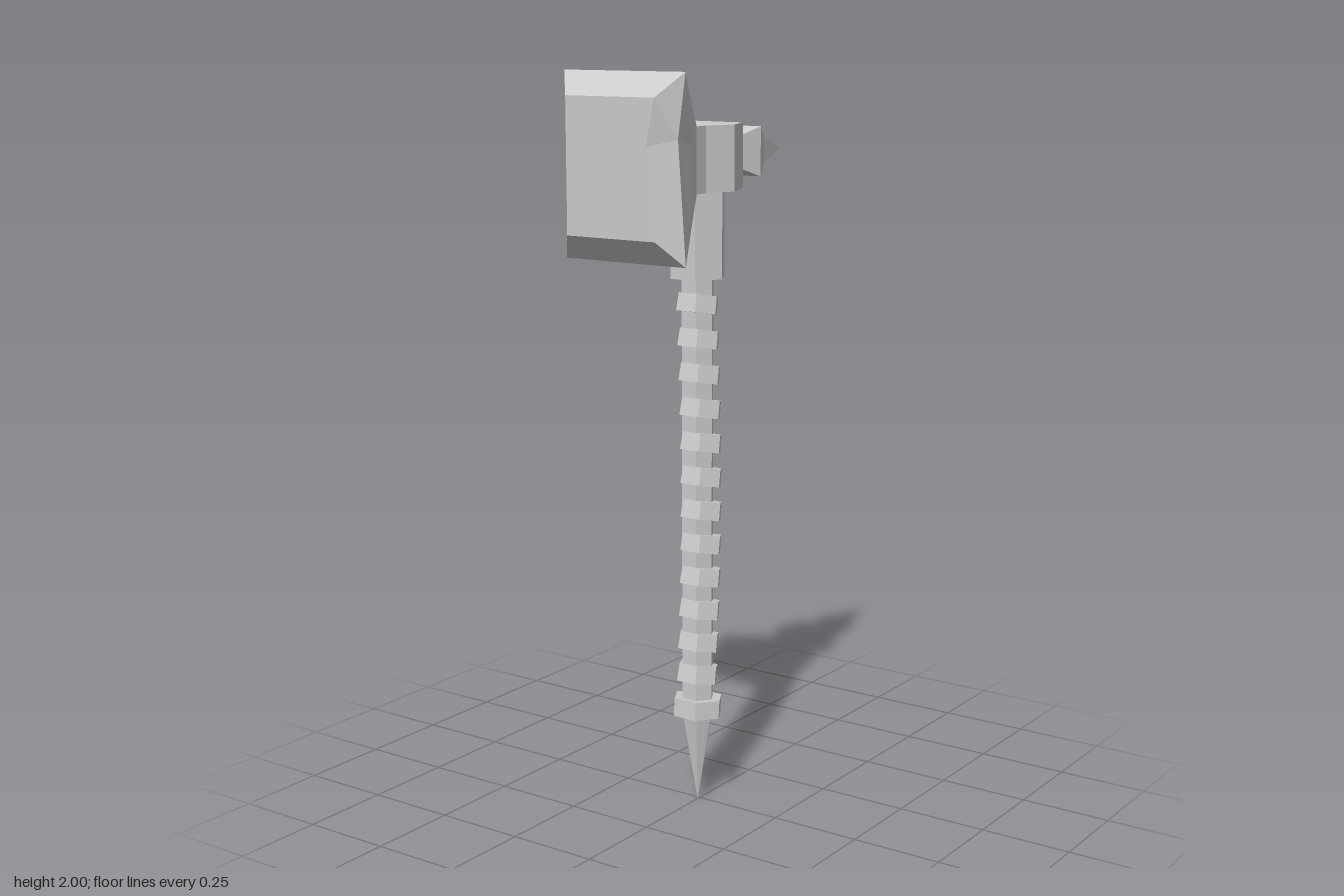
import * as THREE from 'three';

const material = new THREE.MeshStandardMaterial({ color: 0xcccccc, flatShading: true });

// Loft closed rings (counter-clockwise seen from +z), ordered back to front.
function loft(rings) {
  const pos = [];
  const n = rings[0].length;
  const tri = (...p) => p.forEach(v => pos.push(...v));
  const cap = (ring, front) => {
    const c = [0, 1, 2].map(k => ring.reduce((s, p) => s + p[k], 0) / n);
    ring.forEach((p, i) => {
      const q = ring[(i + 1) % n];
      front ? tri(c, p, q) : tri(c, q, p);
    });
  };
  for (let k = 0; k < rings.length - 1; k++) {
    for (let i = 0; i < n; i++) {
      const j = (i + 1) % n;
      const [a, b, c, d] = [rings[k][i], rings[k][j], rings[k + 1][j], rings[k + 1][i]];
      tri(a, b, c);
      tri(a, c, d);
    }
  }
  cap(rings[0], false);
  cap(rings[rings.length - 1], true);
  const g = new THREE.BufferGeometry();
  g.setAttribute('position', new THREE.Float32BufferAttribute(pos, 3));
  g.computeVertexNormals();
  return g;
}

// Rectangular section; dent pushes in the +x edge, notch cuts the -x edge.
function section(z, w, y0, y1, dent = 0, notch = 0, dentZ = 0) {
  const y = t => y0 + (y1 - y0) * t;
  return [
    [w, y0, z], [w - dent, y(0.66), z + dentZ], [w, y1, z], [-w, y1, z],
    [-w, y(0.42), z], [-w + notch, y(0.34), z], [-w, y(0.19), z], [-w, y0, z],
  ];
}

export function createModel() {
  const group = new THREE.Group();
  const add = (name, geometry, x = 0, y = 0, z = 0) => {
    const mesh = new THREE.Mesh(geometry, material);
    mesh.name = name;
    mesh.position.set(x, y, z);
    group.add(mesh);
    return mesh;
  };
  // Six-sided prism with corners on the x axis
  const hex = (rTop, rBottom, h) => new THREE.CylinderGeometry(rTop, rBottom, h, 6).rotateY(Math.PI / 6);

  // Hammer face with chipped edges
  add('hammerHead', loft([
    section(0.14, 0.088, 1.69, 1.86),
    section(0.24, 0.14, 1.605, 1.935),
    section(0.325, 0.185, 1.53, 2.0, 0.014, 0.042, 0.012),
    section(0.385, 0.135, 1.595, 1.94, 0.025),
  ]));

  // Central block swelling around the handle
  add('headBlock', loft([
    section(-0.082, 0.08, 1.69, 1.86),
    section(0.013, 0.117, 1.69, 1.86),
    section(0.092, 0.084, 1.69, 1.86),
    section(0.14, 0.088, 1.69, 1.86),
  ]));

  // Rear pick
  add('rearSpike', loft([
    section(-0.385, 0.0005, 1.7775, 1.7785),
    section(-0.25, 0.037, 1.745, 1.812),
    section(-0.19, 0.065, 1.713, 1.845),
    section(-0.133, 0.043, 1.735, 1.825),
    section(-0.082, 0.08, 1.69, 1.86),
  ]));

  // Handle core, collar and pointed butt
  const cz = 0.01;
  add('collar', hex(0.078, 0.078, 0.24), 0, 1.58, cz);
  add('handle', hex(0.046, 0.046, 1.24), 0, 0.87, cz);
  add('buttRing', hex(0.071, 0.071, 0.05), 0, 0.275, cz).rotation.x = -0.08;
  add('buttSpike', hex(0.045, 0.0005, 0.26), 0, 0.13, cz);

  // Tilted grip wraps, drifting slightly sideways along the handle
  const wraps = 12;
  for (let i = 0; i < wraps; i++) {
    const t = i / (wraps - 1);
    const wrap = add('gripWrap', hex(0.058, 0.06, 0.048), 0.013 * Math.sin(Math.PI * t), 0.37 + 1.02 * t, cz);
    wrap.rotation.x = -0.2;
  }
  return group;
}
